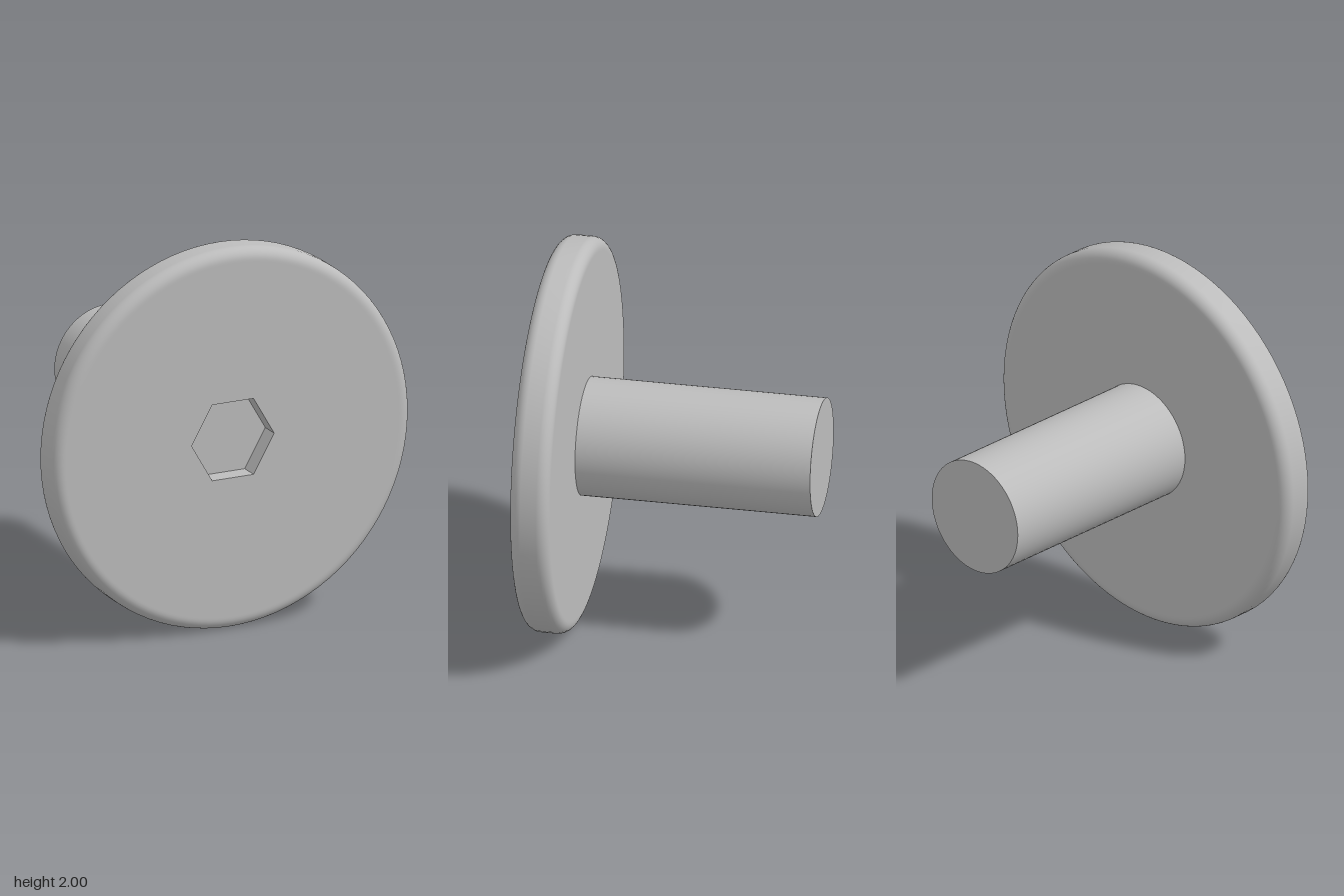
import * as THREE from 'three';

const SEGMENTS = 96;
const FRONT = 0.7, BACK = 0.5, TAIL = -0.7;   // z positions along the axis
const FILLET = 0.06;
const FLAT_R = 0.93;                          // radius of the flat front face
const HEX_R = 0.2 / Math.cos(Math.PI / 6);    // socket is 0.4 across flats
const HEX_DEPTH = 0.1;

export function createModel() {
  const steel = new THREE.MeshStandardMaterial({ color: 0xbcbcbc });
  steel.name = 'steel grey';

  const model = new THREE.Group();
  model.name = 'flatHeadBolt';
  const add = (name, geometry) => {
    const mesh = new THREE.Mesh(geometry, steel);
    mesh.name = name;
    mesh.position.y = 1;
    model.add(mesh);
  };

  // Head: flat back and rounded rim
  const profile = [new THREE.Vector2(0, BACK), new THREE.Vector2(FLAT_R, BACK)];
  const fillet = (z, from) => {
    for (let i = 0; i <= 8; i++) {
      const a = from + (i / 8) * Math.PI / 2;
      profile.push(new THREE.Vector2(1 - FILLET + FILLET * Math.cos(a), z + FILLET * Math.sin(a)));
    }
  };
  fillet(BACK + FILLET, -Math.PI / 2);
  fillet(FRONT - FILLET, 0);
  profile.push(new THREE.Vector2(FLAT_R, FRONT));
  add('headRim', new THREE.LatheGeometry(profile, SEGMENTS).rotateX(Math.PI / 2));

  // Front face with a hexagonal opening
  const face = new THREE.Shape().absarc(0, 0, FLAT_R, 0, Math.PI * 2, false);
  const corners = [];
  for (let i = 0; i < 6; i++) {
    const a = -i * Math.PI / 3;
    corners.push(new THREE.Vector2(HEX_R * Math.cos(a), HEX_R * Math.sin(a)));
  }
  face.holes.push(new THREE.Path(corners));
  add('headFace', new THREE.ShapeGeometry(face, SEGMENTS).translate(0, 0, FRONT));

  // Socket walls, mirrored so that they face inward, and the floor
  const walls = new THREE.CylinderGeometry(HEX_R, HEX_R, HEX_DEPTH, 6, 1, true)
    .rotateY(Math.PI / 6).rotateX(Math.PI / 2)
    .scale(-1, 1, 1).translate(0, 0, FRONT - HEX_DEPTH / 2).toNonIndexed();
  walls.computeVertexNormals();
  add('socketWalls', walls);
  add('socketFloor', new THREE.CircleGeometry(HEX_R, 6).translate(0, 0, FRONT - HEX_DEPTH));

  // Plain shank
  const length = BACK - TAIL;
  add('shank', new THREE.CylinderGeometry(0.3, 0.3, length, 64)
    .rotateX(Math.PI / 2).translate(0, 0, TAIL + length / 2));

  return model;
}
